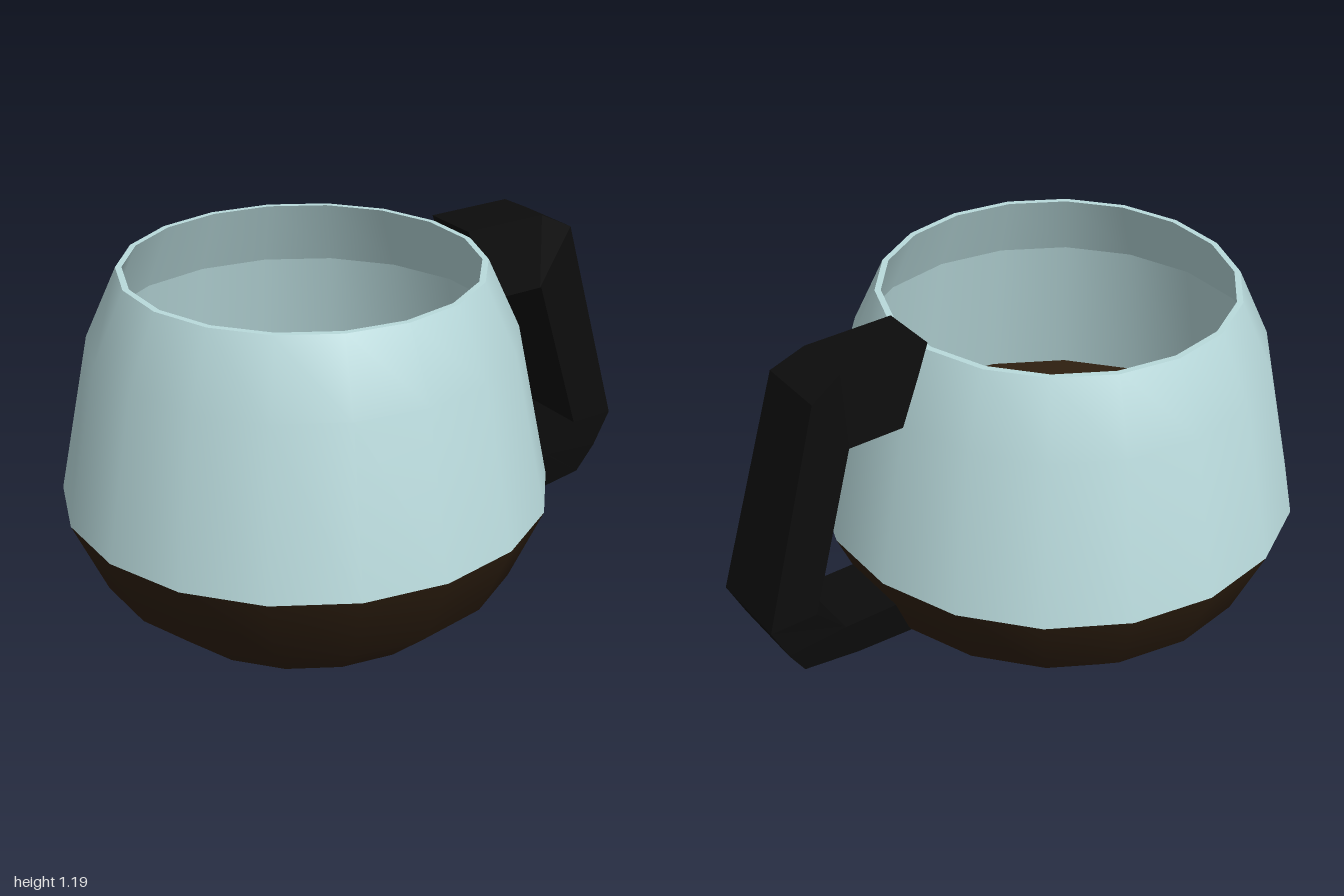
import * as THREE from 'three';
import { mergeGeometries } from 'three/addons/utils/BufferGeometryUtils.js';

const SIDES = 18;

// Lathe made of separate strips: smooth inside a strip, sharp between strips
function turned(strips) {
  return mergeGeometries(strips.map(strip => new THREE.LatheGeometry(
    strip.map(([r, y]) => new THREE.Vector2(r, y)), SIDES, Math.PI / 2)));
}

// Four-sided loft; each section is [outer u, outer y, outer half width, inner u, inner y, inner half width]
function loft(sections) {
  const pos = [], idx = [];
  sections.forEach(([ou, oy, ow, iu, iy, iw], k) => {
    pos.push(ou, oy, ow, ou, oy, -ow, iu, iy, -iw, iu, iy, iw);
    if (k === 0) return;
    const p = (k - 1) * 4, q = k * 4;
    for (let j = 0; j < 4; j++) {
      const n = (j + 1) % 4;
      idx.push(p + j, q + j, q + n, p + j, q + n, p + n);
    }
  });
  const e = (sections.length - 1) * 4;
  idx.push(0, 1, 2, 0, 2, 3, e, e + 2, e + 1, e, e + 3, e + 2);
  const geo = new THREE.BufferGeometry();
  geo.setAttribute('position', new THREE.Float32BufferAttribute(pos, 3));
  geo.setIndex(idx);
  geo.computeVertexNormals();
  return geo;
}

export function createModel() {
  const model = new THREE.Group();
  model.name = 'coffeePot';
  const add = (name, geometry, color, flatShading = false) => {
    const mesh = new THREE.Mesh(geometry, new THREE.MeshStandardMaterial({ color, flatShading }));
    mesh.name = name;
    mesh.position.x = -0.2;
    model.add(mesh);
    return mesh;
  };

  // Glass wall: outside, rim, then the two inner bands
  add('glass', turned([
    [[0.8, 0.405], [0.69, 0.94], [0.585, 1.17]],
    [[0.585, 1.17], [0.565, 1.17]],
    [[0.565, 1.17], [0.667, 0.94]],
    [[0.667, 0.94], [0.775, 0.405]],
  ]), 0xb9dadc);

  // Coffee-filled lower half: base, sides and liquid surface
  add('coffee', turned([
    [[0, 0], [0.515, 0]],
    [[0.515, 0], [0.69, 0.155], [0.8, 0.405]],
    [[0.8, 0.405], [0, 0.405]],
  ]), 0x2e1f10);

  // Angular handle, growing out of the facet just behind the +x corner
  const handle = add('handle', loft([
    [0.57, 1.19, 0.10, 0.675, 0.94, 0.12],
    [0.875, 1.19, 0.10, 0.865, 0.94, 0.12],
    [0.985, 1.135, 0.12, 0.87, 0.94, 0.12],
    [1.193, 0.40, 0.142, 1.03, 0.40, 0.142],
    [1.135, 0.28, 0.135, 0.93, 0.295, 0.13],
    [1.075, 0.185, 0.12, 0.925, 0.29, 0.13],
    [0.865, 0.14, 0.10, 0.90, 0.29, 0.13],
    [0.66, 0.14, 0.11, 0.73, 0.29, 0.13],
  ]), 0x0c0c0c, true);
  handle.rotation.y = Math.PI / SIDES;

  return model;
}
